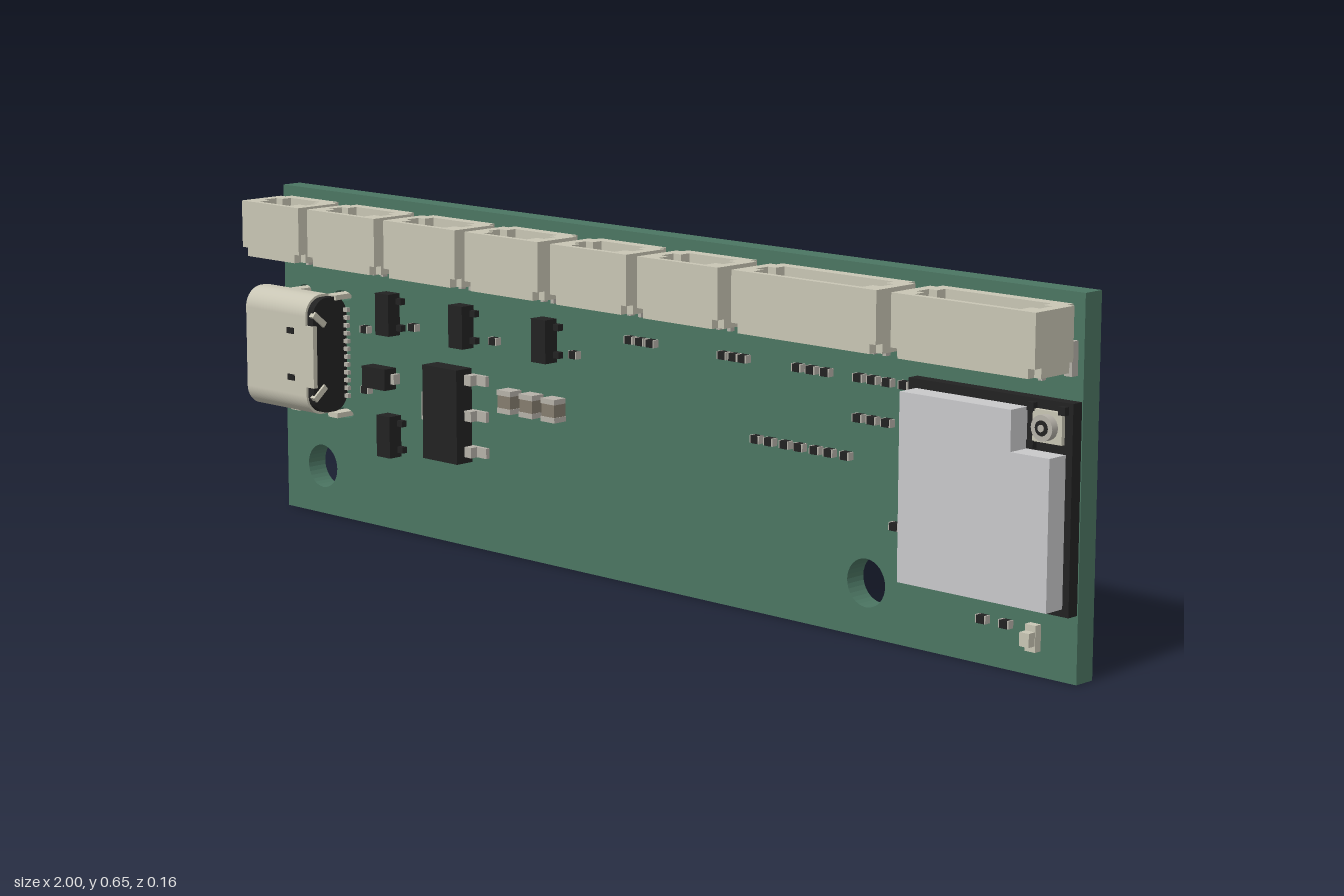
import * as THREE from 'three';

const mat = (name, color) => new THREE.MeshStandardMaterial({ name, color });

export function createModel() {
  const root = new THREE.Group();
  root.name = 'circuitBoard';
  const green = mat('boardGreen', 0x4b7562);
  const beige = mat('connectorBeige', 0xc8c5b4);
  const black = mat('chipBlack', 0x222222);
  const silver = mat('shieldGrey', 0xc8c8ca);
  const metal = mat('solderMetal', 0xb5b1a8);
  const ceramic = mat('capacitorTan', 0x857c6e);
  const FACE = -0.036; // front face of the board

  // Box given by its limits
  function box(parent, name, m, x0, x1, y0, y1, z0, z1) {
    const mesh = new THREE.Mesh(new THREE.BoxGeometry(x1 - x0, y1 - y0, z1 - z0), m);
    mesh.position.set((x0 + x1) / 2, (y0 + y1) / 2, (z0 + z1) / 2);
    mesh.name = name;
    parent.add(mesh);
    return mesh;
  }
  function group(name, x = 0, y = 0, z = 0) {
    const g = new THREE.Group();
    g.name = name;
    g.position.set(x, y, z);
    root.add(g);
    return g;
  }
  const poly = (pts, Type = THREE.Shape) => new Type(pts.map(p => new THREE.Vector2(...p)));
  const extrude = (shape, depth) =>
    new THREE.ExtrudeGeometry(shape, { depth, bevelEnabled: false, curveSegments: 16 });
  function add(parent, name, geo, m) {
    const mesh = new THREE.Mesh(geo, m);
    mesh.name = name;
    parent.add(mesh);
    return mesh;
  }

  // Board with mounting holes and socket slots
  const outline = poly([[-0.987, 0], [1, 0], [1, 0.652], [-0.987, 0.652]]);
  const holes = [[-0.88, 0.096, 0.043, 0.043], [0.545, 0.096, 0.043, 0.043],
    [-0.829, 0.407, 0.009, 0.009], [-0.829, 0.248, 0.009, 0.009]];
  for (const y of [0.213, 0.448]) holes.push([-0.812, y, 0.026, 0.01], [-0.925, y, 0.018, 0.01]);
  for (const [x, y, rx, ry] of holes) {
    const p = new THREE.Path();
    p.absellipse(x, y, rx, ry, 0, Math.PI * 2, true);
    outline.holes.push(p);
  }
  add(root, 'board', extrude(outline, 0.043), green).position.z = -0.079;

  // Row of plug sockets opening upward: left, right, pin count
  const sockets = [[-0.976, -0.807, 2], [-0.781, -0.588, 3], [-0.561, -0.364, 3], [-0.337, -0.144, 3],
    [-0.112, 0.08, 3], [0.107, 0.3, 3], [0.332, 0.658, 8], [0.69, 0.99, 7]];
  for (const [x0, x1, n] of sockets) {
    const h = (x1 - x0) / 2;
    const g = group('plugSocket', (x0 + x1) / 2);
    const shell = poly([[-h, -0.02], [-h + 0.014, -0.02], [-h + 0.014, FACE], [h - 0.014, FACE],
      [h - 0.014, -0.02], [h, -0.02], [h, 0.08], [-h, 0.08]]);
    const a = h - 0.022, b = h - 0.04;
    shell.holes.push(poly([[-b, -0.012], [-b, 0.01], [-a, 0.01], [-a, 0.042], [-b, 0.042], [-b, 0.068],
      [b, 0.068], [b, 0.042], [a, 0.042], [a, 0.01], [b, 0.01], [b, -0.012]], THREE.Path));
    add(g, 'socketShell', extrude(shell, 0.092).rotateX(Math.PI / 2), beige).position.y = 0.632;
    box(g, 'socketFloor', beige, -h + 0.014, h - 0.014, 0.523, 0.56, -0.012, 0.079);
    for (const s of [-1, 1]) {
      const c = s * (h - 0.01);
      box(g, 'socketFoot', beige, c - 0.01, c + 0.01, 0.523, 0.54, -0.01, 0.063);
      box(g, 'solderTab', metal, c - 0.008, c + 0.008, 0.515, 0.573, FACE, -0.02);
    }
    for (let i = 0; i < n; i++) {
      const x = (i - (n - 1) / 2) * 0.0267;
      box(g, 'contactPin', metal, x - 0.004, x + 0.004, 0.555, 0.61, 0.018, 0.026);
      box(g, 'pinTail', metal, x - 0.004, x + 0.004, 0.5, 0.53, FACE, -0.025);
      box(g, 'pinRiser', metal, x - 0.004, x + 0.004, 0.516, 0.525, FACE, -0.012);
    }
  }

  // Oval cable port at the board edge, opening sideways
  function pill(y0, y1, z0, z1, r, Type = THREE.Shape) {
    const s = new Type();
    s.absarc(y1 - r, z1 - r, r, 0, Math.PI / 2);
    s.absarc(y0 + r, z1 - r, r, Math.PI / 2, Math.PI);
    s.absarc(y0 + r, z0 + r, r, Math.PI, Math.PI * 1.5);
    s.absarc(y1 - r, z0 + r, r, Math.PI * 1.5, Math.PI * 2);
    s.closePath();
    return s;
  }
  const alongX = new THREE.Matrix4().makeBasis(
    new THREE.Vector3(0, 1, 0), new THREE.Vector3(0, 0, 1), new THREE.Vector3(1, 0, 0));
  const port = group('cablePort');
  const ring = pill(0.217, 0.455, FACE, 0.055, 0.04);
  ring.holes.push(pill(0.227, 0.445, FACE + 0.01, 0.045, 0.03, THREE.Path));
  add(port, 'portShell', extrude(ring, 0.18).applyMatrix4(alongX), beige).position.x = -1;
  add(port, 'portBack', extrude(pill(0.222, 0.45, FACE, 0.05, 0.035), 0.045).applyMatrix4(alongX), black)
    .position.x = -0.848;
  box(port, 'portTongue', black, -0.98, -0.84, 0.255, 0.417, 0.001, 0.017);
  box(port, 'rearClip', beige, -0.822, -0.798, 0.275, 0.397, 0.045, 0.055);
  for (const y of [0.29, 0.383]) box(port, 'shellSlot', black, -0.875, -0.855, y - 0.006, y + 0.006, 0.052, 0.057);
  for (const [y, s] of [[0.275, -1], [0.397, 1]]) {
    const arm = box(port, 'clipArm', beige, -0.81, -0.798, y - 0.006, y + 0.006, 0.018, 0.055);
    arm.rotation.x = s * -0.7;
    arm.position.y += s * 0.012;
  }
  for (const y of [0.213, 0.448]) for (const x of [-0.812, -0.925])
    box(port, 'portLeg', beige, x - 0.014, x + 0.014, y - 0.005, y + 0.005, -0.07, -0.005);
  for (let i = 0; i < 12; i++) {
    const y = 0.25 + i * 0.0156;
    box(port, 'portContact', metal, -0.81, -0.792, y - 0.004, y + 0.004, FACE, -0.028);
  }

  // Wireless module with a notched metal shield
  const mod = group('wirelessModule');
  box(mod, 'moduleBase', black, 0.652, 0.998, 0.117, 0.473, FACE, -0.013);
  const can = poly([[0.669, 0.13], [0.985, 0.13], [0.985, 0.387], [0.905, 0.387], [0.905, 0.457], [0.669, 0.457]]);
  add(mod, 'moduleShield', extrude(can, 0.043), silver).position.z = -0.013;
  box(mod, 'aerialSocketBase', beige, 0.922, 0.982, 0.403, 0.457, -0.013, -0.005);
  for (const [r, z1, m] of [[0.022, 0.01, metal], [0.013, 0.011, black], [0.006, 0.013, metal]]) {
    const c = add(mod, 'aerialSocket', new THREE.CylinderGeometry(r, r, z1 + 0.008, 20).rotateX(Math.PI / 2), m);
    c.position.set(0.952, 0.43, (z1 - 0.008) / 2);
  }
  for (const [x, y] of [[0.918, 0.46], [0.982, 0.46], [0.918, 0.397]])
    box(mod, 'modulePart', black, x - 0.007, x + 0.007, y - 0.007, y + 0.007, -0.013, -0.003);

  // Voltage regulator
  const reg = group('regulator');
  box(reg, 'regulatorBody', black, -0.535, -0.44, 0.168, 0.35, -0.032, 0.008);
  function lead(parent, x0, x1, xMid, y, w) {
    box(parent, 'leadFoot', metal, x0, x1, y - w, y + w, FACE, -0.028);
    box(parent, 'leadShoulder', metal, Math.min(xMid, xMid + 0.02), Math.max(xMid, xMid + 0.02), y - w, y + w, -0.03, -0.012);
  }
  lead(reg, -0.578, -0.53, -0.555, 0.26, 0.027);
  for (const y of [0.19, 0.26, 0.329]) lead(reg, -0.445, -0.397, -0.442, y, 0.01);

  // Three-legged transistors
  for (const [x, y] of [[-0.663, 0.43], [-0.455, 0.43], [-0.23, 0.43], [-0.663, 0.19]]) {
    const g = group('transistor', x, y);
    box(g, 'transistorBody', black, -0.019, 0.019, -0.041, 0.041, -0.034, -0.004);
    for (const [s, ly] of [[-1, 0], [1, 0.026], [1, -0.026]])
      box(g, 'transistorLeg', black, s * 0.023 - 0.01, s * 0.023 + 0.01, ly - 0.006, ly + 0.006, FACE, -0.024);
  }

  // Diode
  const diode = group('diode', -0.69, 0.302);
  box(diode, 'diodeBody', black, -0.033, 0.033, -0.021, 0.021, -0.034, -0.004);
  for (const s of [-1, 1])
    box(diode, 'diodeEnd', metal, s * 0.036 - 0.006, s * 0.036 + 0.006, -0.01, 0.01, FACE, -0.02);

  // Capacitors with metal ends
  for (const x of [-0.326, -0.267, -0.208]) {
    const g = group('capacitor', x, 0.302);
    box(g, 'capacitorBody', ceramic, -0.017, 0.017, -0.014, 0.014, FACE, -0.007);
    for (const s of [-1, 1])
      box(g, 'capacitorEnd', metal, -0.018, 0.018, s * 0.017 - 0.005, s * 0.017 + 0.005, FACE, -0.006);
  }

  // Tiny resistors: height, then positions along the row
  const rows = [
    [0.315, [0.294, 0.326, 0.363, 0.396, 0.433, 0.465, 0.502]],
    [0.455, [-0.016, 0.011, 0.037, 0.214, 0.24, 0.262, 0.39, 0.422, 0.455, 0.53, 0.561, 0.594, 0.631]],
    [0.385, [0.53, 0.561, 0.594]], [0.208, [0.615]], [0.08, [0.807, 0.856]],
    [0.41, [-0.599, -0.374, -0.16]], [0.39, [-0.738]], [0.27, [-0.738]]];
  for (const [y, xs] of rows) for (const x of xs) {
    const g = group('resistor', x, y);
    box(g, 'resistorBody', black, -0.008, 0.008, -0.007, 0.007, FACE, -0.022);
    for (const s of [-1, 1])
      box(g, 'resistorEnd', metal, s * 0.009 - 0.002, s * 0.009 + 0.002, -0.007, 0.007, FACE, -0.023);
  }

  // Indicator light
  const led = group('indicatorLight', 0.914, 0.067);
  box(led, 'lightBase', beige, -0.011, 0.011, -0.023, 0.023, FACE, -0.021);
  box(led, 'lightLens', beige, -0.01, 0.01, -0.012, 0.012, -0.021, -0.005);
  return root;
}
